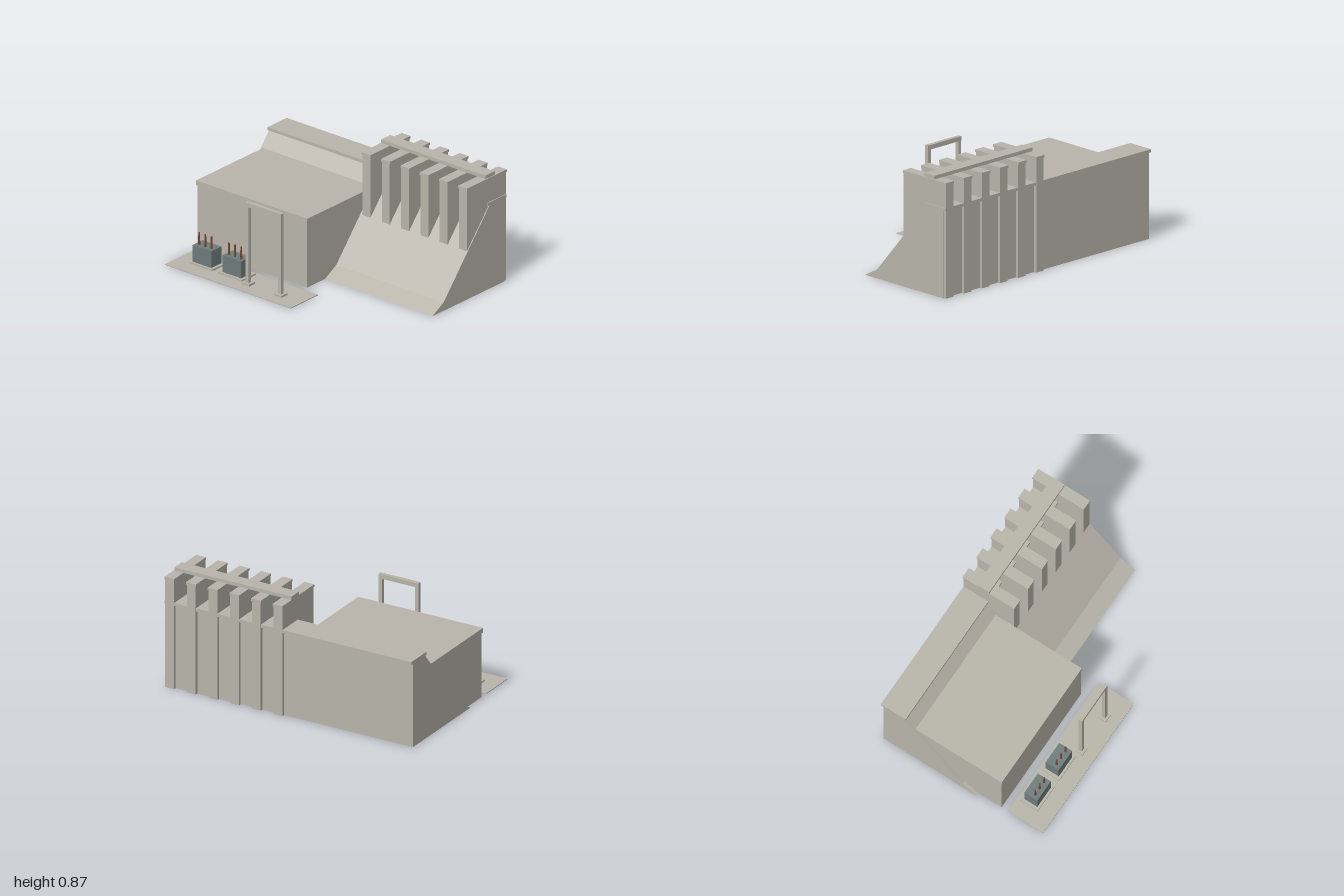
import * as THREE from 'three';

const mat = (name, color, side = THREE.FrontSide) => {
  const m = new THREE.MeshStandardMaterial({ color, side });
  m.name = name;
  return m;
};

// Removes the faces lying on the ground, leaving a hollow shell
function openBottom(geometry) {
  const g = geometry.index ? geometry.toNonIndexed() : geometry;
  const p = g.attributes.position;
  const kept = [];
  for (let i = 0; i < p.count; i += 3) {
    const onGround = [0, 1, 2].every((k) => Math.abs(p.getY(i + k)) < 1e-5);
    if (!onGround) kept.push(i, i + 1, i + 2);
  }
  g.clearGroups();
  g.setIndex(kept);
  return g;
}

// Box given by its limits on each axis
function boxGeo([x0, x1], [y0, y1], [z0, z1]) {
  return new THREE.BoxGeometry(x1 - x0, y1 - y0, z1 - z0)
    .translate((x0 + x1) / 2, (y0 + y1) / 2, (z0 + z1) / 2);
}

export function createModel() {
  const concrete = mat('concrete', 0xb8b4aa, THREE.DoubleSide);
  const steel = mat('transformerGrey', 0x6e7a7a);
  const copper = mat('bushingBrown', 0x7d4630);

  const root = new THREE.Group();
  root.name = 'dam';
  const add = (parent, name, geometry, material = concrete) => {
    const m = new THREE.Mesh(geometry, material);
    m.name = name;
    parent.add(m);
    return m;
  };
  const group = (name) => {
    const g = new THREE.Group();
    g.name = name;
    root.add(g);
    return g;
  };

  // Dam wall: a side profile (z, y) swept along the whole width
  const profile = new THREE.Shape([
    [-0.645, 0], [0.13, 0], [0.01, 0.065], [-0.245, 0.36], [-0.483, 0.635], [-0.645, 0.635],
  ].map(([z, y]) => new THREE.Vector2(z, y)));
  const wall = new THREE.ExtrudeGeometry(profile, { depth: 2, bevelEnabled: false })
    .rotateY(-Math.PI / 2).translate(1, 0, 0);
  add(root, 'damWall', openBottom(wall));
  add(root, 'damCrest', boxGeo([-1, 1], [0.633, 0.656], [-0.665, -0.46]));

  // Spillway piers with caps, joined by a walkway
  const spillway = group('spillwayPiers');
  for (let i = 0; i < 6; i++) {
    const x = 0.08 + i * 0.1755;
    add(spillway, 'pier', openBottom(boxGeo([x - 0.036, x + 0.036], [0, 0.822], [-0.667, -0.247])));
    add(spillway, 'pierCap', boxGeo([x - 0.04, x + 0.04], [0.822, 0.841], [-0.672, -0.243]));
  }
  add(spillway, 'walkway', boxGeo([0.04, 0.99], [0.841, 0.867], [-0.55, -0.45]));

  // Powerhouse with an overhanging roof slab
  const house = group('powerhouse');
  add(house, 'powerhouseWalls', openBottom(boxGeo([-0.975, 0.023], [0, 0.492], [-0.4, 0.322])));
  add(house, 'powerhouseRoof', boxGeo([-0.982, 0.028], [0.49, 0.526], [-0.405, 0.328]));

  // Yard slab
  const yard = group('switchyard');
  add(yard, 'yardSlab', boxGeo([-0.977, 0.166], [0, 0.006], [0.375, 0.668]));

  // Transformers on pads, three bushings each
  for (const x of [-0.757, -0.487]) {
    add(yard, 'transformerPad', boxGeo([x - 0.107, x + 0.107], [0.005, 0.018], [0.397, 0.549]));
    add(yard, 'transformerBody', boxGeo([x - 0.085, x + 0.085], [0.018, 0.145], [0.423, 0.531]), steel);
    for (const dx of [-0.056, 0, 0.056]) {
      const bushing = new THREE.CylinderGeometry(0.006, 0.008, 0.1, 8);
      add(yard, 'bushing', bushing.translate(x + dx, 0.187, 0.495), copper);
    }
  }

  // Gantry: two posts on footings with a top beam
  const gantry = group('gantry');
  for (const x of [-0.319, -0.024]) {
    add(gantry, 'gantryFooting', boxGeo([x - 0.033, x + 0.033], [0.005, 0.021], [0.517, 0.583]));
    add(gantry, 'gantryPost', boxGeo([x - 0.014, x + 0.014], [0.02, 0.6], [0.537, 0.565]));
  }
  add(gantry, 'gantryBeam', boxGeo([-0.333, -0.01], [0.597, 0.63], [0.536, 0.566]));

  return root;
}
